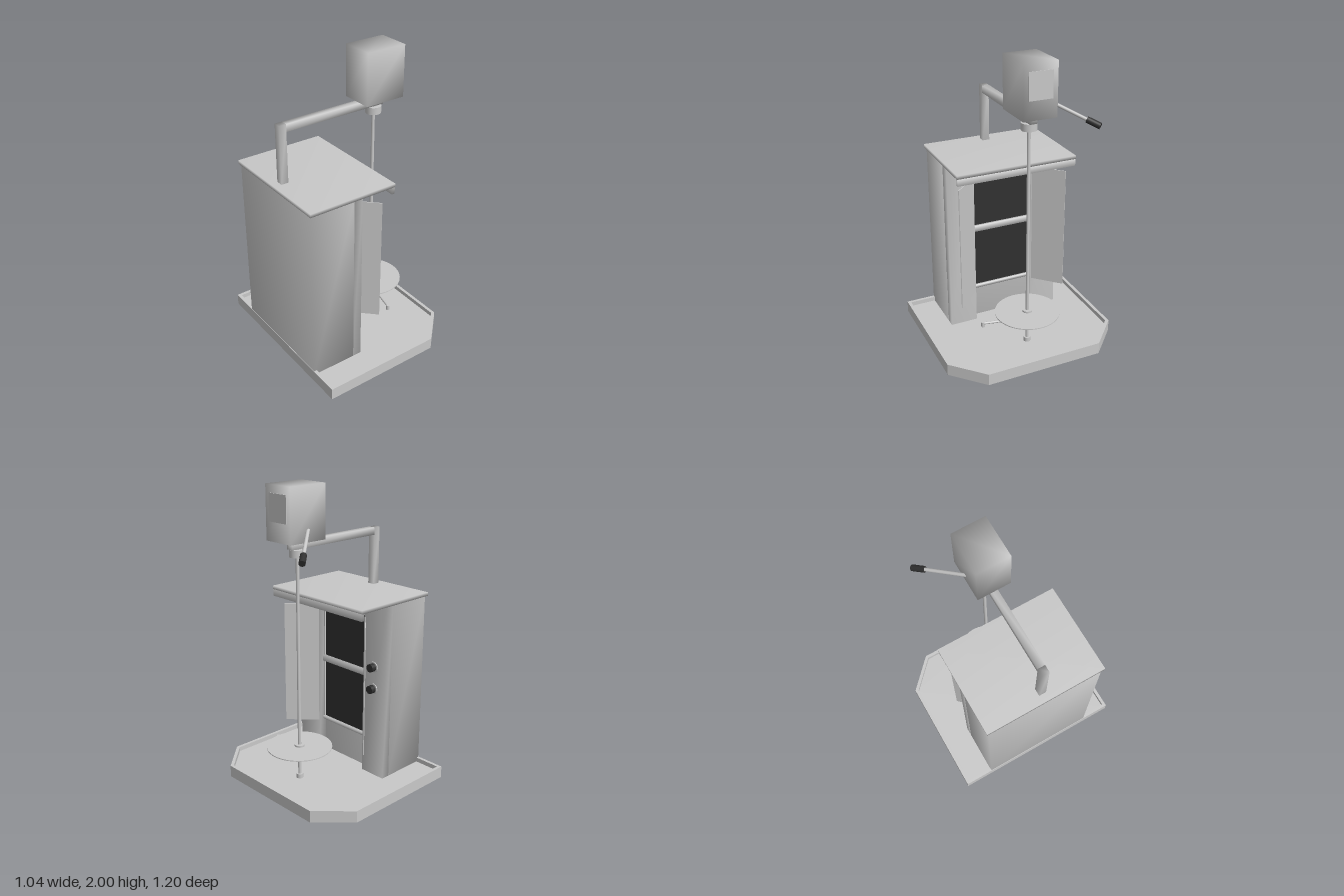
import * as THREE from 'three';
import { mergeVertices } from 'three/addons/utils/BufferGeometryUtils.js';

export function createModel() {
  const model = new THREE.Group();
  const grey = new THREE.MeshStandardMaterial({ color: 0xc8c8c8 });
  grey.name = 'light grey metal';
  const black = new THREE.MeshStandardMaterial({ color: 0x303030 });
  black.name = 'black';

  const add = (name, geometry, material = grey) => {
    const mesh = new THREE.Mesh(geometry, material);
    mesh.name = name;
    model.add(mesh);
    return mesh;
  };

  // box given by its limits; soft boxes blend their normals over the corners
  const box = (name, [x0, x1], [y0, y1], [z0, z1], material = grey, soft = false) => {
    let g = new THREE.BoxGeometry(x1 - x0, y1 - y0, z1 - z0);
    if (soft) {
      g.deleteAttribute('uv');
      g.deleteAttribute('normal');
      g = mergeVertices(g);
      g.computeVertexNormals();
    }
    g.translate((x0 + x1) / 2, (y0 + y1) / 2, (z0 + z1) / 2);
    return add(name, g, material);
  };

  // round bar between two points
  const rod = (name, from, to, radius, material = grey, sides = 24) => {
    const a = new THREE.Vector3(...from);
    const d = new THREE.Vector3(...to).sub(a);
    const mesh = add(name, new THREE.CylinderGeometry(radius, radius, d.length(), sides), material);
    mesh.position.copy(a).addScaledVector(d, 0.5);
    mesh.quaternion.setFromUnitVectors(new THREE.Vector3(0, 1, 0), d.normalize());
    return mesh;
  };

  // tray with two clipped corners and a raised rim
  const outline = (i) => {
    const c = i * 0.41;
    return [
      [-0.515 + i, -0.6 + i], [0.31 - c, -0.6 + i], [0.517 - i, -0.4 + c],
      [0.517 - i, 0.4 - c], [0.31 - c, 0.6 - i], [-0.515 + i, 0.6 - i],
    ].map(([x, y]) => new THREE.Vector2(x, y));
  };
  const slab = (name, inset, holeInset, y0, y1) => {
    const shape = new THREE.Shape(outline(inset));
    if (holeInset) shape.holes.push(new THREE.Path(outline(holeInset)));
    const g = new THREE.ExtrudeGeometry(shape, { depth: y1 - y0, bevelEnabled: false });
    g.rotateX(-Math.PI / 2).translate(0, y0, 0);
    add(name, g);
  };
  slab('trayFloor', 0, 0, 0, 0.05);
  slab('trayRim', 0, 0.022, 0.05, 0.08);

  // cabinet body with front pillars
  box('cabinetBody', [-0.512, -0.2], [0.05, 1.246], [-0.398, 0.398], grey, true);
  for (const s of [-1, 1]) {
    const z = [0.21 * s, 0.398 * s].sort((a, b) => a - b);
    box('frontPillar', [-0.205, -0.14], [0.05, 1.246], z, grey, true);
    box('windowSideFrame', [-0.2, -0.185], [0.28, 1.15], [0.206 * s - 0.005, 0.206 * s + 0.005]);

    // open door
    const hinge = new THREE.Vector2(-0.14, 0.215 * s);
    const end = new THREE.Vector2(0.027, 0.38 * s);
    const door = add('door', new THREE.BoxGeometry(hinge.distanceTo(end), 0.86, 0.006));
    door.position.set((hinge.x + end.x) / 2, 0.71, (hinge.y + end.y) / 2);
    door.rotation.y = -Math.atan2(end.y - hinge.y, end.x - hinge.x);
  }

  // dark windows and their cross bars
  for (const y of [[0.3, 0.725], [0.76, 1.14]]) {
    box('windowPane', [-0.199, -0.193], y, [-0.205, 0.205], black);
  }
  for (const y of [[0.28, 0.302], [0.72, 0.762], [1.138, 1.152]]) {
    box('windowCrossBar', [-0.2, -0.175], y, [-0.21, 0.21], grey, true);
  }

  // knobs beside the hinge of the rear door
  for (const y of [0.67, 0.82]) {
    rod('knobFlange', [-0.142, y, -0.3], [-0.134, y, -0.3], 0.036);
    rod('knob', [-0.136, y, -0.3], [-0.1, y, -0.3], 0.027, black);
  }

  // roof with front lip
  box('roof', [-0.522, 0.095], [1.246, 1.27], [-0.413, 0.413], grey, true);
  box('roofLip', [0.073, 0.095], [1.2, 1.248], [-0.41, 0.41], grey, true);

  // bracket arm
  box('armPost', [-0.47, -0.421], [1.265, 1.655], [-0.024, 0.024], grey, true);
  box('arm', [-0.423, 0.3], [1.606, 1.655], [-0.024, 0.024], grey, true);

  // vertical spindle and collars
  rod('spindle', [0.24, 0.05, 0], [0.24, 1.57, 0], 0.011);
  rod('spindleFoot', [0.24, 0.05, 0], [0.24, 0.08, 0], 0.023);
  rod('upperCollar', [0.24, 1.555, 0], [0.24, 1.602, 0], 0.051, grey, 32);
  rod('collarNeck', [0.24, 1.6, 0], [0.24, 1.665, 0], 0.023);

  // round table and its clamp
  rod('tableDisc', [0.24, 0.276, 0], [0.24, 0.282, 0], 0.216, grey, 64);
  rod('tableHub', [0.24, 0.252, 0], [0.24, 0.294, 0], 0.033);
  rod('lowerCollar', [0.24, 0.235, 0], [0.24, 0.253, 0], 0.022);
  rod('clampLever', [0.24, 0.225, 0], [0.175, 0.225, 0.295], 0.008);
  rod('leverKnob', [0.175, 0.2, 0.293], [0.175, 0.234, 0.293], 0.012);

  // drive head with side panel
  box('head', [0.106, 0.388], [1.66, 2], [-0.11, 0.11], grey, true);
  box('headPanel', [0.385, 0.392], [1.78, 1.95], [-0.078, 0.078]);

  // crank handle
  rod('crankRod', [0.24, 1.735, -0.1], [0.45, 1.634, -0.288], 0.011);
  rod('crankGrip', [0.44, 1.639, -0.279], [0.502, 1.609, -0.335], 0.02, black);

  return model;
}
